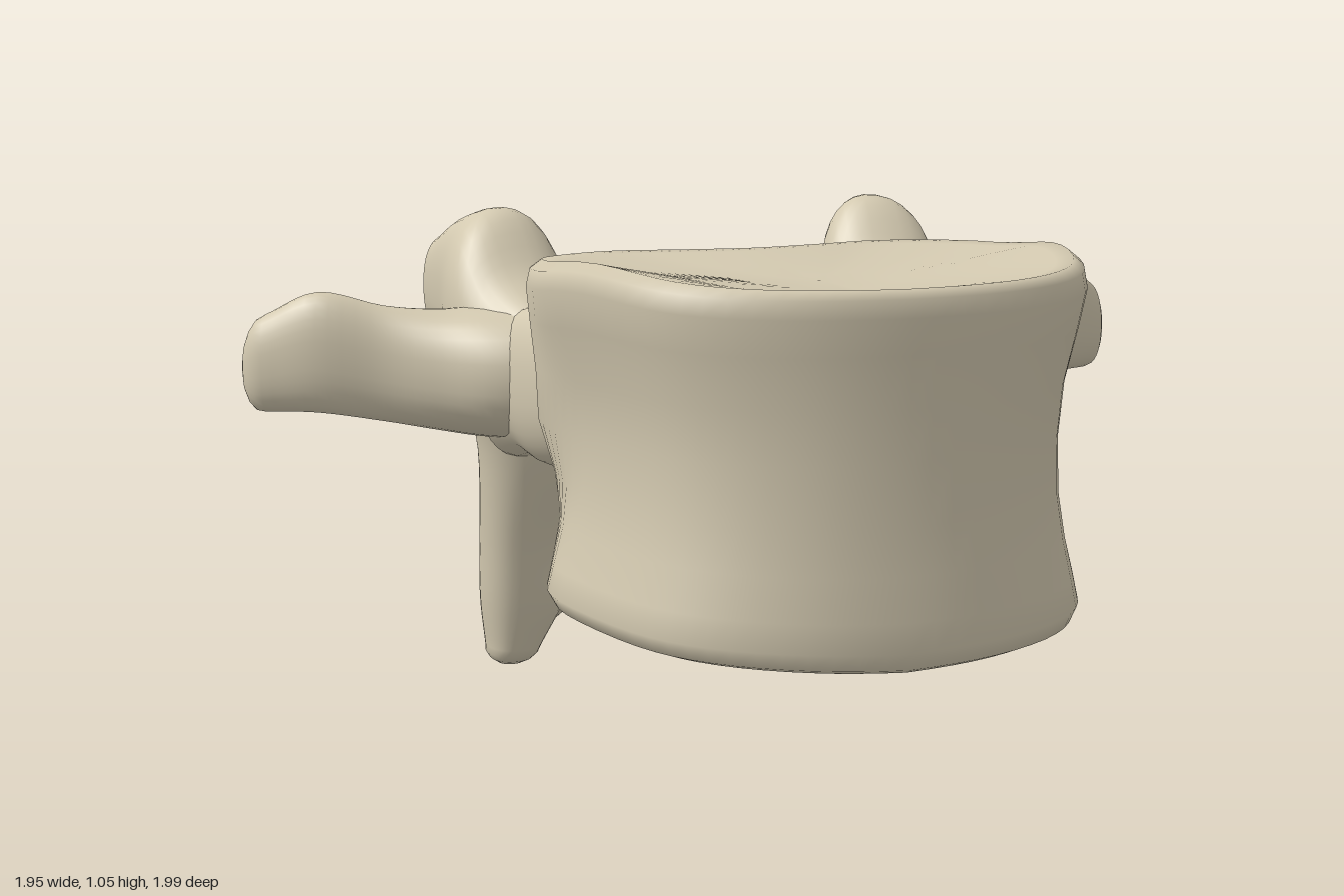
import * as THREE from 'three';

const bone = new THREE.MeshStandardMaterial({ color: 0xd3c9b0 });
bone.name = 'bone';

// Skin closed rings of equal length, closing both ends with a fan
function skin(name, rings) {
  const n = rings[0].length, pos = [], idx = [];
  rings.forEach(r => r.forEach(p => pos.push(p.x, p.y, p.z)));
  for (let i = 0; i < rings.length - 1; i++) {
    for (let j = 0; j < n; j++) {
      const k = (j + 1) % n, a = i * n + j, b = i * n + k;
      idx.push(a, b, b + n, a, b + n, a + n);
    }
  }
  [0, rings.length - 1].forEach((r, end) => {
    const c = new THREE.Vector3();
    rings[r].forEach(p => c.addScaledVector(p, 1 / n));
    const centre = pos.length / 3;
    pos.push(c.x, c.y, c.z);
    for (let j = 0; j < n; j++) {
      const a = r * n + j, b = r * n + (j + 1) % n;
      if (end) idx.push(centre, a, b); else idx.push(centre, b, a);
    }
  });
  const g = new THREE.BufferGeometry();
  g.setAttribute('position', new THREE.Float32BufferAttribute(pos, 3));
  g.setIndex(idx);
  g.computeVertexNormals();
  const mesh = new THREE.Mesh(g, bone);
  mesh.name = name;
  return mesh;
}

// Tapered limb: each section is [centre, half width vector, half height vector].
// side = -1 mirrors it; taper widens the foot of each section; a low power squares it.
function limb(name, sections, { side = 1, round = 0.04, taper = 0, power = 0.88 } = {}) {
  const curve = k => new THREE.CatmullRomCurve3(
    sections.map(s => new THREE.Vector3(s[k][0] * side, s[k][1], s[k][2])), false, 'catmullrom', 0.5);
  const [C, U, V] = [0, 1, 2].map(curve);
  const steps = (sections.length - 1) * 5, rings = [];
  const soft = q => Math.sign(q) * Math.abs(q) ** power;
  const ring = (c, u, v, s) => {
    const pts = [];
    for (let j = 0; j < 32; j++) {
      const a = j / 32 * Math.PI * 2, co = Math.cos(a), si = Math.sin(a);
      pts.push(c.clone().addScaledVector(u, soft(co) * (1 - taper * si) * s)
        .addScaledVector(v, soft(si) * s));
    }
    rings.push(pts);
  };
  const along = C.getPoint(1).sub(C.getPoint(0));
  const flip = U.getPoint(0).cross(V.getPoint(0)).dot(along) < 0 ? -1 : 1;
  for (let i = 0; i <= steps; i++) {
    const t = i / steps;
    ring(C.getPoint(t), U.getPoint(t).multiplyScalar(flip), V.getPoint(t), 1);
  }
  // Rounded tip
  const tip = C.getPoint(1), dir = C.getTangent(1);
  for (let k = 1; k <= 4; k++) {
    const a = k / 4 * 1.45;
    ring(tip.clone().addScaledVector(dir, round * Math.sin(a)),
      U.getPoint(1).multiplyScalar(flip), V.getPoint(1), Math.cos(a));
  }
  return skin(name, rings);
}

// Closed, mirrored plan outline from its +x half, front to back
function planOutline(front, half, back) {
  const pts = [[0, front], ...half, [0, back], ...half.map(([x, z]) => [-x, z]).reverse()];
  return new THREE.CatmullRomCurve3(
    pts.map(([x, z]) => new THREE.Vector3(x, 0, z)), true, 'catmullrom', 0.5).getPoints(72).slice(0, 72);
}

// Drum with a waist, raised rims and dished ends: kidney-shaped above, oval below
function vertebralBody() {
  const front = [[0.2, 0.965], [0.37, 0.88], [0.47, 0.74], [0.53, 0.48]];
  const upper = planOutline(0.99, [...front, [0.515, 0.3], [0.475, 0.18], [0.32, 0.105], [0.15, 0.135]], 0.155);
  const lower = planOutline(0.99, [...front, [0.505, 0.33], [0.44, 0.22], [0.31, 0.14], [0.15, 0.115]], 0.115);
  // [height, width scale, depth scale]
  const levels = [[0.33, 0.3, 0.3], [0.32, 0.7, 0.7], [0.307, 0.9, 0.95], [0.315, 0.95, 0.99],
    [0.345, 0.98, 1.01], [0.4, 0.955, 1.005], [0.48, 0.915, 0.99], [0.57, 0.885, 0.975],
    [0.68, 0.88, 0.972], [0.78, 0.905, 0.975], [0.88, 0.965, 0.99], [0.95, 1, 1.005],
    [0.985, 0.985, 1], [1.003, 0.94, 0.975], [0.998, 0.87, 0.92], [0.98, 0.6, 0.65], [0.97, 0.25, 0.3]];
  return skin('vertebralBody', levels.map(([y, sx, sz]) => upper.map((p, i) => {
    const q = lower[i].clone().lerp(p, THREE.MathUtils.smoothstep(y, 0.35, 0.7));
    // The waist fades out towards the pedicle roots
    const root = 0.7 * THREE.MathUtils.smoothstep(0.5 - q.z, 0, 0.3)
      * THREE.MathUtils.smoothstep(y, 0.5, 0.66) * (1 - THREE.MathUtils.smoothstep(y, 0.88, 0.96));
    const x = q.x * THREE.MathUtils.lerp(sx, 1, root), z = 0.56 + (q.z - 0.56) * sz;
    const top = Math.max(0, (y - 0.65) / 0.35), low = Math.max(0, (0.65 - y) / 0.35);
    const lift = top * (0.03 * Math.exp(-(((z - 0.62) / 0.25) ** 2)) * Math.abs(x) / 0.5 - 0.012 * (1 - z))
      + low * (0.035 * (1 - z) - 0.022 * (1 - Math.abs(x) / 0.5));
    return new THREE.Vector3(x, y + lift, z);
  })));
}

// Paired parts, listed for the +x side, each with the length of its rounded tip
const paired = {
  Pedicle: [[
    [[0.36, 0.74, 0.36], [0.05, 0, 0], [0, 0.1, 0]],
    [[0.37, 0.735, 0.22], [0.09, 0, 0], [0, 0.155, 0]],
    [[0.39, 0.725, 0.1], [0.1, 0, 0], [0, 0.17, 0]],
    [[0.4, 0.72, 0], [0.1, 0, 0], [0, 0.155, 0]],
    [[0.4, 0.69, -0.12], [0.11, 0, 0.02], [0, 0.15, 0]],
    [[0.38, 0.66, -0.2], [0.08, 0, 0.02], [0, 0.12, 0]]], 0.04],
  TransverseProcess: [[
    [[0.4, 0.73, -0.08], [0, 0, 0.19], [0, 0.14, 0]],
    [[0.5, 0.73, -0.1], [0.02, 0, 0.165], [0, 0.135, 0]],
    [[0.59, 0.735, -0.11], [0.03, 0, 0.1], [0, 0.125, 0]],
    [[0.7, 0.75, -0.13], [0.02, 0, 0.06], [0, 0.12, 0]],
    [[0.83, 0.775, -0.16], [0.02, 0, 0.05], [0, 0.125, 0]],
    [[0.93, 0.75, -0.215], [0.02, 0, 0.045], [0, 0.1, 0]]], 0.05],
  SuperiorArticularProcess: [[
    [[0.4, 0.75, 0.02], [0.08, 0, 0], [0, 0.11, 0]],
    [[0.405, 0.785, -0.09], [0.125, -0.01, 0.02], [0.01, 0.145, 0]],
    [[0.43, 0.86, -0.2], [0.125, -0.02, 0.03], [0, 0.185, 0]],
    [[0.458, 0.88, -0.32], [0.08, -0.01, 0.02], [0, 0.15, 0]],
    [[0.48, 0.87, -0.43], [0.05, 0, 0.01], [0, 0.11, 0]]], 0.06],
  InferiorArticularProcess: [[
    [[0.41, 0.84, -0.17], [0.07, 0, 0], [0, 0, 0.08]],
    [[0.39, 0.7, -0.18], [0.12, 0, 0], [0, 0, 0.125]],
    [[0.365, 0.54, -0.205], [0.11, 0, 0], [0, 0, 0.115]],
    [[0.355, 0.34, -0.285], [0.1, 0, 0.02], [0, 0, 0.115]],
    [[0.35, 0.2, -0.325], [0.095, 0, 0.02], [0, 0, 0.11]],
    [[0.37, 0.09, -0.335], [0.06, 0, 0.01], [0, 0, 0.08]]], 0.045],
  Lamina: [[
    [[0.39, 0.43, -0.245], [0, 0, 0.08], [0, 0.28, 0.13]],
    [[0.28, 0.415, -0.275], [0.03, 0, 0.085], [0, 0.31, 0.145]],
    [[0.17, 0.425, -0.335], [0.03, 0, 0.085], [0, 0.275, 0.14]],
    [[0.07, 0.45, -0.375], [0.01, 0, 0.075], [0, 0.25, 0.115]],
    [[0, 0.45, -0.38], [0, 0, 0.07], [0, 0.25, 0.1]]], 0.01]
};

export function createModel() {
  const model = new THREE.Group();
  model.name = 'lumbarVertebra';
  model.add(vertebralBody());
  for (const [name, [sections, round]] of Object.entries(paired)) {
    model.add(limb('left' + name, sections, { round }));
    model.add(limb('right' + name, sections, { round, side: -1 }));
  }
  // Hatchet-shaped blade, sharp along the top and swollen at the end: [z, y, half height, half width]
  const blade = [[-0.31, 0.52, 0.15, 0.15], [-0.42, 0.42, 0.21, 0.145], [-0.5, 0.37, 0.23, 0.11],
    [-0.6, 0.315, 0.235, 0.072], [-0.7, 0.275, 0.235, 0.058], [-0.8, 0.252, 0.247, 0.078],
    [-0.88, 0.262, 0.232, 0.084], [-0.955, 0.225, 0.155, 0.052]];
  model.add(limb('spinousProcess',
    blade.map(([z, y, h, w]) => [[0, y, z], [w, 0, 0], [0, h, 0]]), { round: 0.045, taper: 0.65, power: 0.75 }));
  return model;
}
